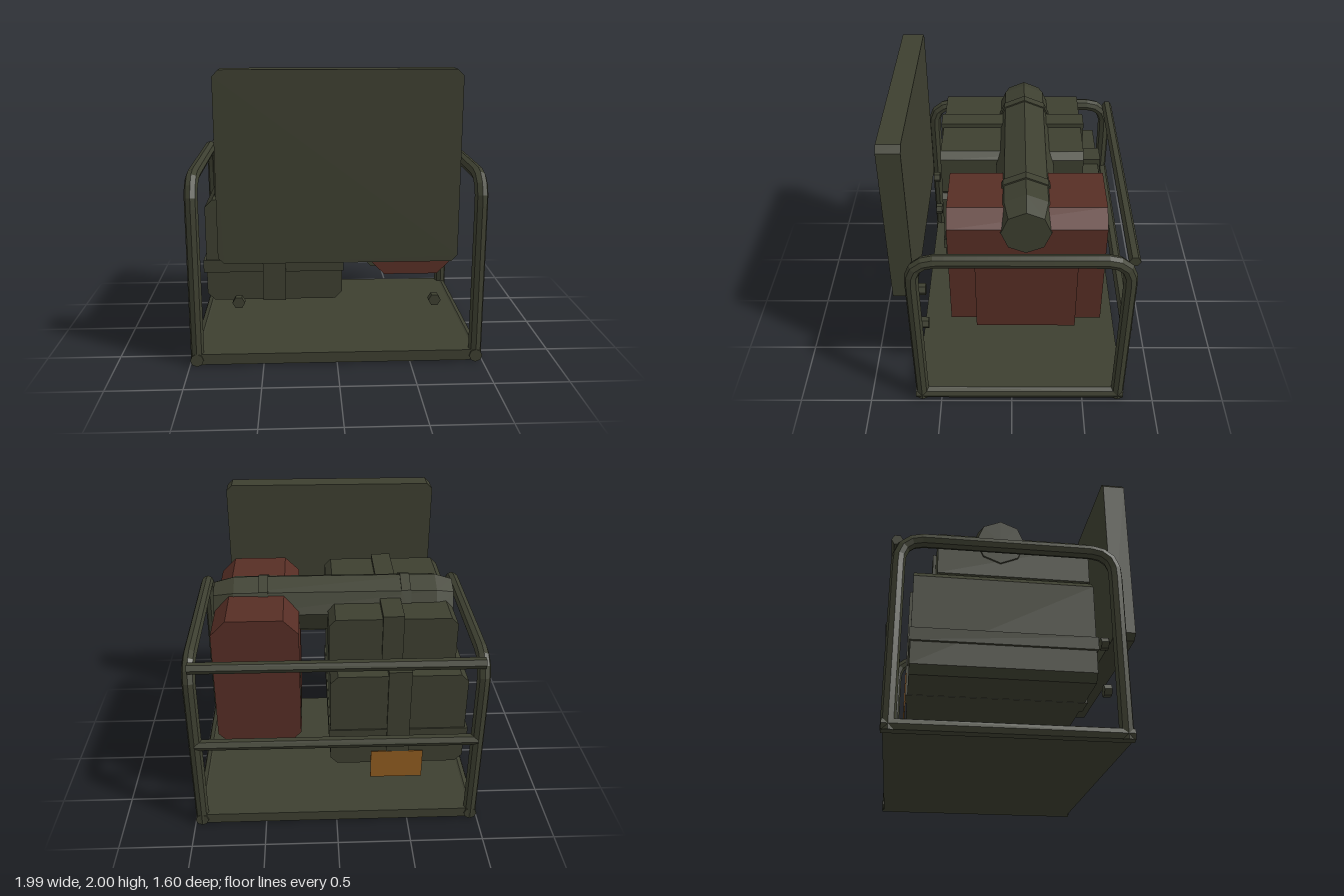
import * as THREE from 'three';

const mat = (name, color) => {
  const m = new THREE.MeshStandardMaterial({ color, flatShading: true });
  m.name = name;
  return m;
};

export function createModel() {
  const green = mat('olive green', 0x3d3f30);
  const red = mat('rust red', 0x572e25);
  const ochre = mat('ochre', 0x8f5c20);
  const model = new THREE.Group();

  const add = (name, geometry, material, x = 0, y = 0, z = 0) => {
    const m = new THREE.Mesh(geometry, material);
    m.name = name;
    m.position.set(x, y, z);
    model.add(m);
    return m;
  };

  // Box given by its limits
  const box = (name, x0, x1, y0, y1, z0, z1, material = green) =>
    add(name, new THREE.BoxGeometry(x1 - x0, y1 - y0, z1 - z0), material,
      (x0 + x1) / 2, (y0 + y1) / 2, (z0 + z1) / 2);

  // Block with its four corners cut in the front outline
  const cutBlock = (name, x0, x1, y0, y1, z0, z1, c, material = green) => {
    const outline = [
      [x0 + c, y0], [x1 - c, y0], [x1, y0 + c], [x1, y1 - c],
      [x1 - c, y1], [x0 + c, y1], [x0, y1 - c], [x0, y0 + c],
    ].map(([x, y]) => new THREE.Vector2(x, y));
    const g = new THREE.ExtrudeGeometry(new THREE.Shape(outline), { depth: z1 - z0, bevelEnabled: false });
    return add(name, g, material, 0, 0, z0);
  };

  // Floor plate
  box('floor', -0.95, 0.95, 0.01, 0.085, -0.78, 0.67);

  // Bent side hoops with a bottom rail each
  const V = (y, z) => new THREE.Vector3(0, y, z);
  const path = new THREE.CurvePath();
  path.add(new THREE.LineCurve3(V(0.01, 0.635), V(1.12, 0.635)));
  path.add(new THREE.QuadraticBezierCurve3(V(1.12, 0.635), V(1.285, 0.635), V(1.285, 0.46)));
  path.add(new THREE.LineCurve3(V(1.285, 0.46), V(1.285, -0.58)));
  path.add(new THREE.QuadraticBezierCurve3(V(1.285, -0.58), V(1.285, -0.75), V(1.12, -0.75)));
  path.add(new THREE.LineCurve3(V(1.12, -0.75), V(0.01, -0.75)));
  for (const [side, x] of [['left', 0.95], ['right', -0.95]]) {
    add(side + 'Hoop', new THREE.TubeGeometry(path, 56, 0.045, 8), green, x);
    const rail = add(side + 'BottomRail', new THREE.CylinderGeometry(0.045, 0.045, 1.47, 8), green, x, 0.045, -0.055);
    rail.rotation.x = Math.PI / 2;
  }

  // Rails across the back
  for (const y of [0.68, 1.28]) {
    const rail = add('backRail', new THREE.CylinderGeometry(0.038, 0.038, 1.9, 6), green, 0, y, -0.763);
    rail.rotation.z = Math.PI / 2;
  }

  // Raised front panel and its hexagonal bolts
  cutBlock('frontPanel', -0.77, 0.77, 0.77, 2, 0.65, 0.8, 0.04);
  for (const x of [-0.66, 0.66]) {
    for (const y of [0.44, 0.77]) {
      const bolt = add('bolt', new THREE.CylinderGeometry(0.042, 0.042, 0.05, 6), green, x, y, 0.615);
      bolt.rotation.set(Math.PI / 2, Math.PI / 6, 0);
    }
  }

  // Red tank with a slightly proud side panel
  cutBlock('tank', 0.24, 0.81, 0.55, 1.52, -0.6, 0.41, 0.1, red);
  cutBlock('tankSidePanel', 0.235, 0.818, 0.55, 1.17, -0.43, 0.24, 0.03, [green, red]);

  // Lower case with flange and strap
  cutBlock('lowerCase', -0.88, 0.04, 0.415, 1.12, -0.65, 0.505, 0.05);
  box('caseFlange', -0.9, 0.05, 0.615, 0.7, -0.66, 0.515);
  box('caseStrap', -0.5, -0.345, 0.413, 1.16, -0.668, 0.525);

  // Upper case with strap
  cutBlock('upperCase', -0.81, 0.045, 1.1, 1.465, -0.5, 0.5, 0.045);
  box('upperStrap', -0.45, -0.31, 1.12, 1.495, -0.52, 0.515);

  // Octagonal roll along the top, tapered at both ends
  const profile = [[0, -0.82], [0.16, -0.82], [0.198, -0.7], [0.198, 0.68], [0.16, 0.82], [0, 0.82]]
    .map(([r, y]) => new THREE.Vector2(r, y));
  const roll = add('roll', new THREE.LatheGeometry(profile, 8), green, 0, 1.4, -0.09);
  roll.rotation.z = -Math.PI / 2;
  for (const x of [-0.49, 0.48]) {
    const band = add('rollBand', new THREE.CylinderGeometry(0.208, 0.208, 0.065, 8), green, x, 1.4, -0.09);
    band.rotation.z = -Math.PI / 2;
  }

  // Hanging plate at the back
  box('rearPlate', -0.6, -0.24, 0.3, 0.52, -0.669, -0.66, ochre);

  return model;
}
